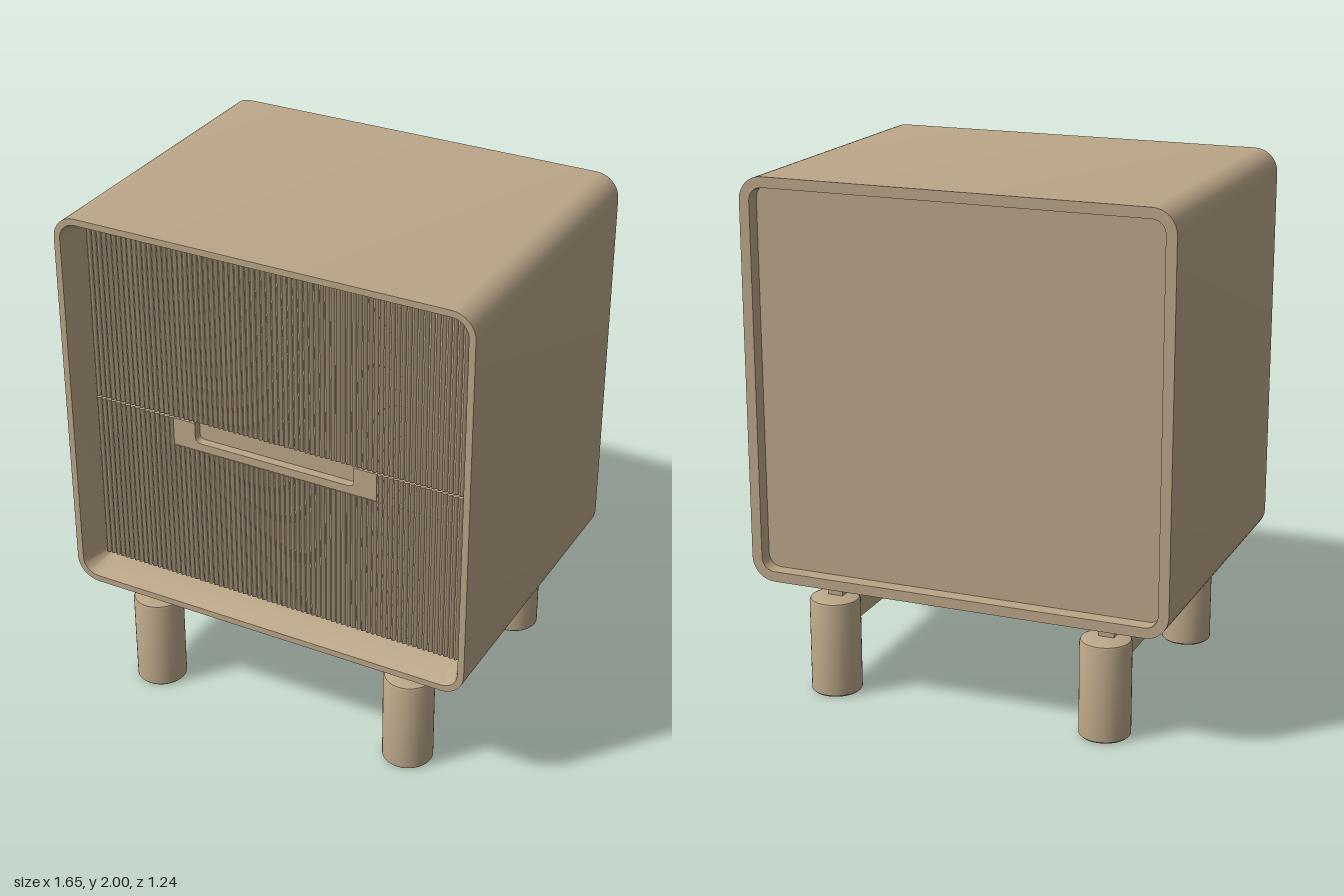
import * as THREE from 'three';
import { toCreasedNormals } from 'three/addons/utils/BufferGeometryUtils.js';

const W = 0.825, Y0 = 0.455, Y1 = 2, D = 0.622;

// Points of a rounded rectangle, inset from the cabinet outline
function outline(inset) {
  const r = Math.max(0.09 - inset, 0.03), n = 8, pts = [];
  const hx = W - inset - r, hy = (Y1 - Y0) / 2 - inset - r, cy = (Y0 + Y1) / 2;
  [[1, 1], [-1, 1], [-1, -1], [1, -1]].forEach(([sx, sy], q) => {
    for (let i = 0; i <= n; i++) {
      const a = (q + i / n) * Math.PI / 2;
      pts.push([sx * hx + r * Math.cos(a), cy + sy * hy + r * Math.sin(a)]);
    }
  });
  return pts;
}

// Skin between successive outlines given as [inset, z]
function loft(sections) {
  const pos = [];
  const rings = sections.map(([inset, z]) => outline(inset).map(([x, y]) => [x, y, z]));
  for (let s = 0; s < rings.length - 1; s++) {
    const a = rings[s], b = rings[s + 1], n = a.length;
    for (let i = 0; i < n; i++) {
      const j = (i + 1) % n;
      pos.push(...a[i], ...a[j], ...b[j], ...a[i], ...b[j], ...b[i]);
    }
  }
  const g = new THREE.BufferGeometry();
  g.setAttribute('position', new THREE.Float32BufferAttribute(pos, 3));
  return toCreasedNormals(g, 0.5);
}

// Panel with a row of half-round vertical flutes on its front
function fluted(x0, x1, y0, y1, zBack, zFront) {
  const count = Math.round((x1 - x0) / 0.021), p = (x1 - x0) / count, depth = 0.01;
  const shape = new THREE.Shape();
  shape.moveTo(x0, -zBack);
  shape.lineTo(x0, -(zFront - depth));
  for (let i = 0; i < count; i++) {
    for (let k = 1; k <= 6; k++) {
      const t = k / 6;
      shape.lineTo(x0 + (i + t) * p, -(zFront - depth + depth * Math.sin(Math.PI * t)));
    }
  }
  shape.lineTo(x1, -zBack);
  const g = new THREE.ExtrudeGeometry(shape, { depth: y1 - y0, bevelEnabled: false });
  g.rotateX(-Math.PI / 2);
  g.translate(0, y0, 0);
  return toCreasedNormals(g, 0.7);
}

function box(x0, x1, y0, y1, z0, z1) {
  const g = new THREE.BoxGeometry(x1 - x0, y1 - y0, z1 - z0);
  return g.translate((x0 + x1) / 2, (y0 + y1) / 2, (z0 + z1) / 2);
}

export function createModel() {
  const model = new THREE.Group();
  model.name = 'nightstand';
  const wood = new THREE.MeshStandardMaterial({ color: 0xbba688 });
  wood.name = 'light wood';
  const add = (name, geometry, parent = model) => {
    const mesh = new THREE.Mesh(geometry, wood);
    mesh.name = name;
    parent.add(mesh);
    return mesh;
  };

  // Rounded cabinet shell with a bevelled front opening and a recessed back
  add('cabinetShell', loft([
    [0.04, -0.54], [0.04, -D], [0, -D], [0, D], [0.025, D], [0.06, 0.53], [0.06, 0.44],
  ]));
  add('backPanel', box(-0.79, 0.79, 0.49, 1.965, -0.565, -0.55));
  add('innerPanel', box(-0.77, 0.77, 0.51, 1.945, 0.43, 0.46));

  // Drawer fronts; the lower one leaves room for the pull
  const zf = 0.53, zb = 0.46, dx = 0.757, px = 0.42, py = 1.115, top = 1.227;
  const upper = new THREE.Group();
  upper.name = 'upperDrawer';
  add('upperFlutes', fluted(-dx, dx, 1.236, 1.93, zb, zf), upper);
  const lower = new THREE.Group();
  lower.name = 'lowerDrawer';
  add('lowerFlutes', fluted(-dx, dx, 0.533, py, zb, zf), lower);
  add('rightFlutes', fluted(-dx, -px, py, top, zb, zf), lower);
  add('leftFlutes', fluted(px, dx, py, top, zb, zf), lower);

  // Pull plate with a scooped notch open at the top
  const nx = 0.328, ny = 1.147, r = 0.025;
  const plate = new THREE.Shape();
  plate.moveTo(-px, py);
  plate.lineTo(px, py);
  plate.lineTo(px, top);
  plate.lineTo(nx, top);
  plate.lineTo(nx, ny + r);
  plate.quadraticCurveTo(nx, ny, nx - r, ny);
  plate.lineTo(-nx + r, ny);
  plate.quadraticCurveTo(-nx, ny, -nx, ny + r);
  plate.lineTo(-nx, top);
  plate.lineTo(-px, top);
  const pull = new THREE.ExtrudeGeometry(plate, { depth: 0.036, bevelEnabled: false, curveSegments: 6 });
  add('pullPlate', pull.translate(0, 0, 0.488), lower);
  add('pullRecess', box(-px, px, py, top, zb, 0.49), lower);
  model.add(upper, lower);

  // H-shaped base: two side rails and a middle cross board
  for (const s of [-1, 1]) {
    const rail = box(-0.03, 0.03, 0.24, Y0 + 0.01, -0.49, 0.49);
    add(s > 0 ? 'leftRail' : 'rightRail', rail.translate(s * 0.547, 0, 0));
  }
  add('crossBoard', box(-0.517, 0.517, 0.24, Y0 + 0.01, -0.07, 0.07));

  // Round legs with softened rims
  const R = 0.097, H = 0.38, e = 0.015;
  const profile = [[0, 0], [R - 0.006, 0], [R, 0.006], [R, H - e], [R - e * 0.3, H - e * 0.3], [R - e, H], [0, H]]
    .map(([x, y]) => new THREE.Vector2(x, y));
  const legGeometry = toCreasedNormals(new THREE.LatheGeometry(profile, 40), 0.6);
  for (const x of [-1, 1]) for (const z of [-1, 1]) {
    const leg = add((z > 0 ? 'front' : 'back') + (x > 0 ? 'Left' : 'Right') + 'Leg', legGeometry);
    leg.position.set(x * 0.547, 0, z * 0.492);
  }
  return model;
}
